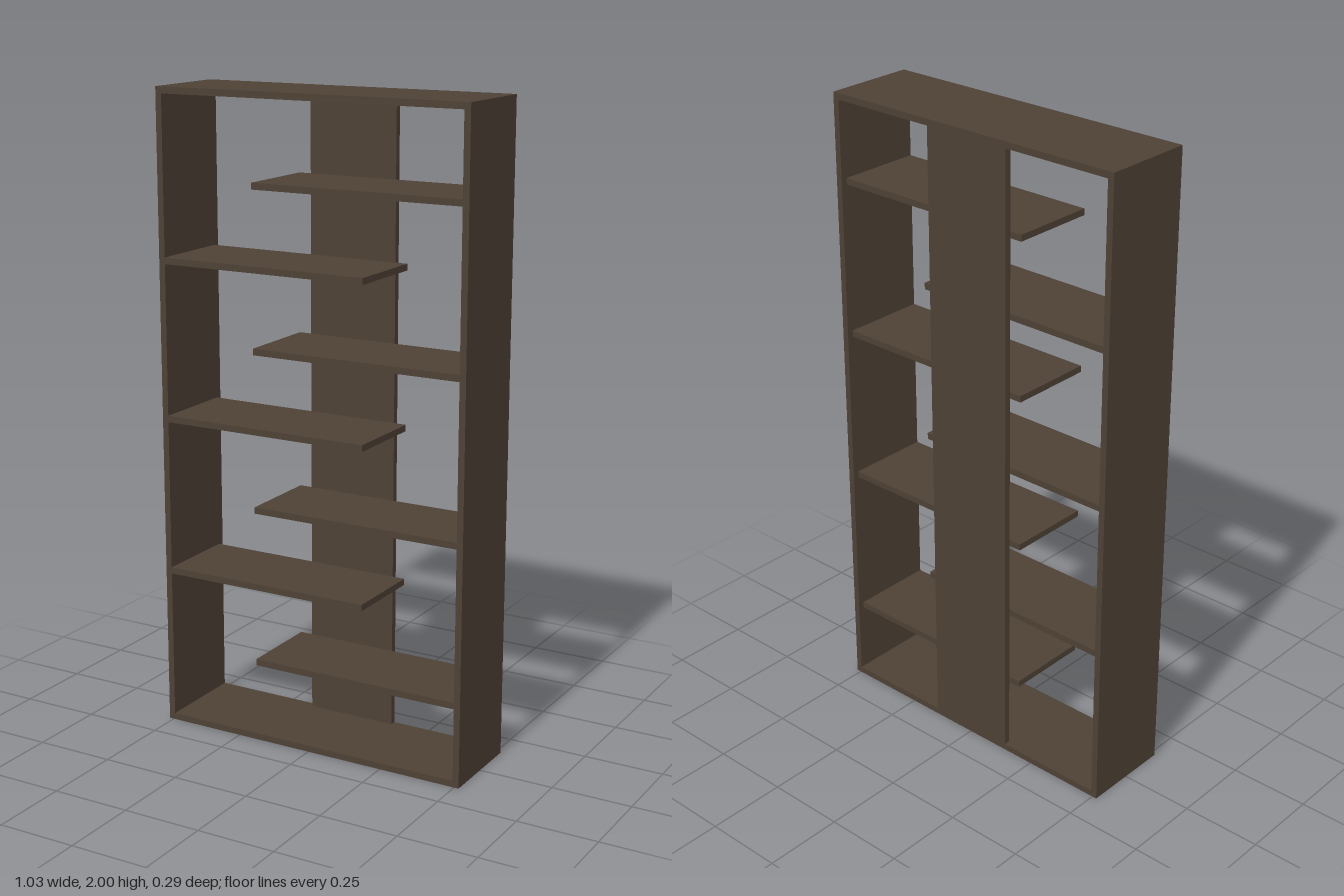
import * as THREE from 'three';

export function createModel() {
  const model = new THREE.Group();
  model.name = 'bookcase';
  const darkWood = new THREE.MeshStandardMaterial({ color: 0x4e4135 });
  darkWood.name = 'darkWood';

  const W = 1.03, H = 2, D = 0.29, T = 0.02; // outer size and board thickness

  // One board given by its lower and upper corner
  function board(name, [x0, y0, z0], [x1, y1, z1]) {
    const mesh = new THREE.Mesh(new THREE.BoxGeometry(x1 - x0, y1 - y0, z1 - z0), darkWood);
    mesh.position.set((x0 + x1) / 2, (y0 + y1) / 2, (z0 + z1) / 2);
    mesh.name = name;
    model.add(mesh);
  }

  const inner = W / 2 - T, back = -D / 2, front = D / 2;

  // Outer frame
  board('rightSide', [-W / 2, 0, back], [-inner, H, front]);
  board('leftSide', [inner, 0, back], [W / 2, H, front]);
  board('bottomBoard', [-inner, 0, back], [inner, T, front]);
  board('topBoard', [-inner, H - T, back], [inner, H, front]);

  // Central back panel
  board('backPanel', [-0.145, T, back], [0.145, H - T, back + T]);

  // Shelves held alternately by the left and the right side
  for (let i = 0; i < 7; i++) {
    const y = 0.257 + i * 0.2452;
    const [x0, x1] = i % 2 === 0 ? [-0.185, inner] : [-inner, 0.185];
    board('shelf' + (i + 1), [x0, y - T / 2, back + T], [x1, y + T / 2, front]);
  }
  return model;
}
